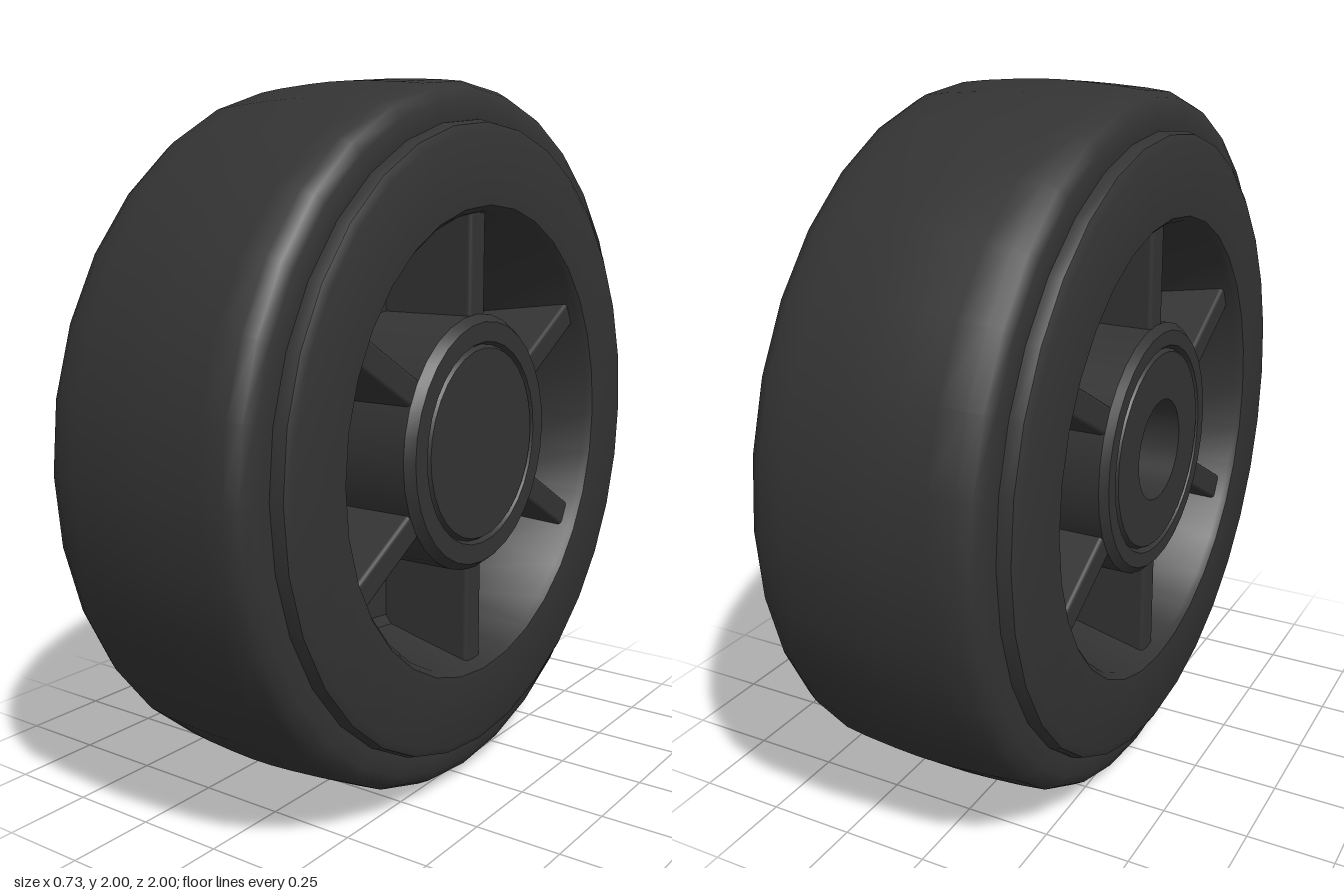
import * as THREE from 'three';
import { toCreasedNormals } from 'three/addons/utils/BufferGeometryUtils.js';
import { RoundedBoxGeometry } from 'three/addons/geometries/RoundedBoxGeometry.js';

const material = new THREE.MeshStandardMaterial({ color: 0x333333 });

// Revolves [radius, x] pairs about the x axle, keeping sharp corners crisp
function revolve(name, profile, segments, crease = 0.6) {
  const points = profile.map(([r, x]) => new THREE.Vector2(r, x));
  const geometry = new THREE.LatheGeometry(points, segments).rotateZ(-Math.PI / 2);
  const mesh = new THREE.Mesh(toCreasedNormals(geometry, crease), material);
  mesh.name = name;
  return mesh;
}

// Completes half a profile (from axle plane outward to +x) with its mirror
function mirrored(half) {
  return [...half.map(([r, x]) => [r, -x]), ...half.slice().reverse()];
}

export function createModel() {
  const model = new THREE.Group();
  model.name = 'wheel';
  const wheel = new THREE.Group();
  wheel.name = 'wheelAssembly';
  wheel.position.y = 1;
  model.add(wheel);

  // Solid tyre with rounded shoulders and a slight crown
  wheel.add(revolve('tyre', mirrored([
    [0.8, 0.31], [0.89, 0.322], [0.935, 0.318], [0.965, 0.302],
    [0.982, 0.27], [0.99, 0.2], [0.997, 0.1], [1, 0.03],
  ]), 32, 0.9));

  // Raised rim with a tapered pocket and central web on both sides
  wheel.add(revolve('rim', mirrored([
    [0.3, 0.05], [0.55, 0.05], [0.575, 0.07], [0.64, 0.35], [0.655, 0.367],
    [0.85, 0.367], [0.872, 0.355], [0.88, 0.33], [0.88, 0.29],
  ]), 32));

  // Hub: blind axle bore on one side, closed cap on the other
  wheel.add(revolve('hub', [
    [0, 0.15], [0.135, 0.15], [0.145, -0.35], [0.28, -0.35], [0.288, -0.335],
    [0.298, -0.35], [0.34, -0.35], [0.36, -0.33], [0.36, 0.33], [0.34, 0.355],
    [0.285, 0.355], [0.277, 0.34], [0.268, 0.355], [0, 0.355],
  ], 32));

  // Six spokes joining hub and rim, slightly below the rim face
  const spokeGeometry = new RoundedBoxGeometry(0.66, 0.36, 0.078, 2, 0.012).translate(0, 0.48, 0);
  for (let i = 0; i < 6; i++) {
    const spoke = new THREE.Mesh(spokeGeometry, material);
    spoke.name = `spoke${i + 1}`;
    spoke.rotation.x = (i * Math.PI) / 3;
    wheel.add(spoke);
  }
  return model;
}
